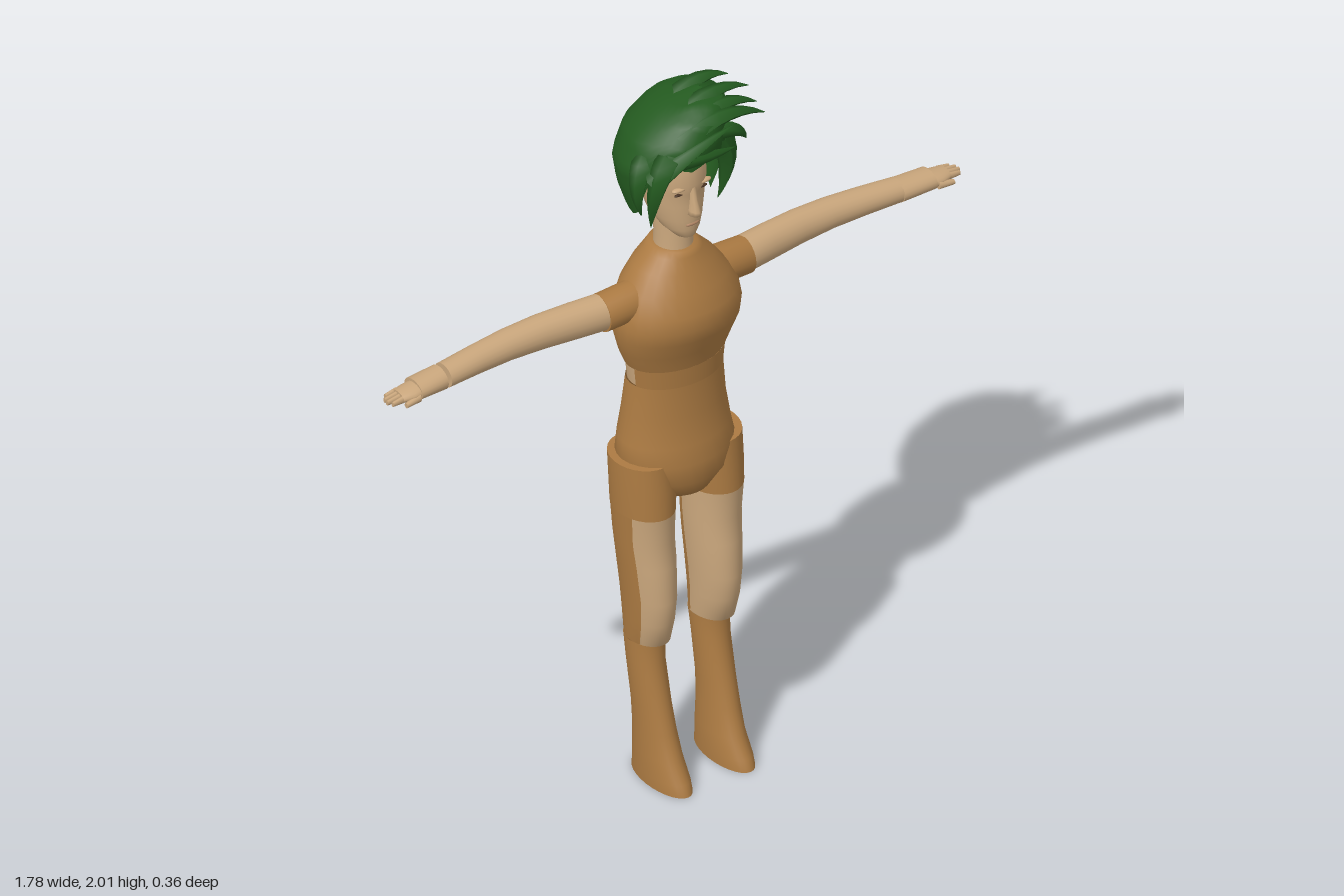
import * as THREE from 'three';
import { ParametricGeometry } from 'three/addons/geometries/ParametricGeometry.js';

const material = (name, color, side = THREE.FrontSide) => {
  const m = new THREE.MeshStandardMaterial({ color, side });
  m.name = name;
  return m;
};
const RAD = Math.PI / 180;

// Section rows are [y, centre x, half width, front z, back z].
const ring = ([y, cx, rx, zf, zb], a, out) =>
  out.set(cx + rx * Math.sin(a), y, (zf + zb) / 2 + ((zf - zb) / 2) * Math.cos(a));

// Skin over elliptical sections; a0..a1 (degrees, 0 = front, 90 = +x) allows partial shells.
function loft(rows, a0 = -180, a1 = 180, sides = 28) {
  const n = rows.length - 1;
  const g = new ParametricGeometry((u, v, out) => {
    ring(rows[Math.min(n, Math.round(v * n))], (a0 + (a1 - a0) * u) * RAD, out);
  }, sides, n);
  g.computeVertexNormals();
  return g;
}

// Add flat, sharp-edged end caps to a row list.
function closed(rows) {
  const cap = ([y, cx, , zf, zb]) => [y, cx, 0.0005, (zf + zb) / 2 + 0.0005, (zf + zb) / 2 - 0.0005];
  const last = rows[rows.length - 1];
  return [cap(rows[0]), rows[0], ...rows, last, cap(last)];
}

// Value of a row list at height y.
function rowAt(rows, y) {
  let i = 0;
  while (i < rows.length - 2 && y > rows[i + 1][0]) i++;
  const t = THREE.MathUtils.clamp((y - rows[i][0]) / (rows[i + 1][0] - rows[i][0]), 0, 1);
  return rows[i].map((c, k) => c + (rows[i + 1][k] - c) * t);
}

// Pointed lock of hair along a bent path.
function lock(a, b, c, w) {
  const seg = 7, sides = 5;
  const curve = new THREE.QuadraticBezierCurve3(...[a, b, c].map(p => new THREE.Vector3(...p)));
  const g = new THREE.TubeGeometry(curve, seg, w, sides);
  const pos = g.attributes.position, p = new THREE.Vector3();
  for (let i = 0; i < pos.count; i++) {
    const t = Math.floor(i / (sides + 1)) / seg;
    p.fromBufferAttribute(pos, i).lerp(curve.getPointAt(t), 0.97 * t ** 1.4);
    pos.setXYZ(i, p.x, p.y, p.z);
  }
  g.computeVertexNormals();
  return g;
}

export function createModel() {
  const skin = material('skin', 0xc9a67c, THREE.DoubleSide);
  const suit = material('brown suit', 0xab7a42, THREE.DoubleSide);
  const green = material('green hair', 0x23591f, THREE.DoubleSide);
  const dark = material('dark eyes', 0x4a3424);
  const lipTone = material('lips', 0xb08564);

  const model = new THREE.Group();
  const add = (name, geo, mat, parent = model) => {
    const m = new THREE.Mesh(geo, mat);
    m.name = name;
    parent.add(m);
    return m;
  };
  const blob = (name, mat, x, y, z, sx, sy, sz) => {
    const m = add(name, new THREE.SphereGeometry(1, 12, 8), mat);
    m.position.set(x, y, z);
    m.scale.set(sx, sy, sz);
  };

  // Torso: hips and bodice, with a bare band across the back of the waist
  const waistLow = [1.175, 0, 0.136, 0.083, -0.108], waistHigh = [1.23, 0, 0.142, 0.086, -0.11];
  add('hips', loft([
    [0.835, 0, 0.001, 0, -0.002], [0.84, 0, 0.09, 0.085, -0.105], [0.89, 0, 0.14, 0.11, -0.125],
    [0.95, 0, 0.165, 0.113, -0.135], [1.0, 0, 0.157, 0.1, -0.132], [1.08, 0, 0.145, 0.087, -0.12], waistLow,
  ]), suit);
  add('waistFront', loft([waistLow, waistHigh], -78, 78), suit);
  add('waistBack', loft([[1.175, 0, 0.132, 0.08, -0.104], [1.23, 0, 0.138, 0.083, -0.106]], 75, 285), skin);
  add('bodice', loft([
    waistHigh, [1.28, 0, 0.163, 0.1, -0.118], [1.33, 0, 0.178, 0.121, -0.128], [1.37, 0, 0.179, 0.13, -0.132],
    [1.41, 0, 0.173, 0.124, -0.133], [1.46, 0, 0.15, 0.102, -0.127], [1.51, 0, 0.11, 0.075, -0.11],
    [1.545, 0, 0.075, 0.057, -0.092], [1.56, 0, 0.06, 0.05, -0.085], [1.561, 0, 0.04, 0.03, -0.065],
  ]), suit);

  // Legs, arms and hands on both sides
  for (const s of [1, -1]) {
    const side = s > 0 ? 'left' : 'right';
    const shell = (rows, a0, a1) => {
      const r = rows.map(([y, x, ...rest]) => [y, s * x, ...rest]);
      return s > 0 ? loft(r, a0, a1) : loft(r, -a1, -a0);
    };
    const thigh = [
      [0.405, 0.1, 0.051, 0.055, -0.06], [0.41, 0.1, 0.053, 0.08, -0.06], [0.48, 0.101, 0.057, 0.1, -0.067],
      [0.55, 0.101, 0.061, 0.108, -0.075], [0.65, 0.102, 0.068, 0.1, -0.085], [0.72, 0.104, 0.072, 0.09, -0.09],
      [0.805, 0.106, 0.075, 0.096, -0.097],
    ];
    add(side + 'ThighFront', shell(thigh, -108, 62), skin);
    add(side + 'ThighBack', shell(thigh, 62, 252), suit);
    add(side + 'LegTop', shell([
      [0.805, 0.106, 0.076, 0.097, -0.098], [0.88, 0.104, 0.08, 0.093, -0.102], [0.955, 0.104, 0.081, 0.085, -0.106],
      [0.955, 0.104, 0.081, 0.085, -0.106], [0.955, 0.1, 0.001, 0.001, -0.001],
    ], -180, 180), suit);
    add(side + 'FlaredBoot', shell(closed([
      [0, 0.097, 0.05, 0.183, -0.042], [0.03, 0.097, 0.05, 0.172, -0.04], [0.08, 0.097, 0.048, 0.138, -0.036],
      [0.15, 0.099, 0.045, 0.113, -0.034], [0.22, 0.1, 0.044, 0.092, -0.038], [0.34, 0.101, 0.047, 0.06, -0.052],
      [0.408, 0.1, 0.051, 0.055, -0.06],
    ]), -180, 180), suit);

    // Arm rows read [distance out, height, half height, front z, back z]
    const arm = new THREE.Group();
    arm.name = side + 'Arm';
    model.add(arm);
    const limb = (name, rows, mat) => {
      const r = rows.map(([d, h, ...rest]) => [d, -s * h, ...rest]);
      add(name, loft(closed(r), -180, 180, 20).rotateZ(-s * Math.PI / 2), mat, arm);
    };
    limb('sleeve', [[0.11, 1.43, 0.053, 0.04, -0.065], [0.16, 1.427, 0.052, 0.037, -0.066], [0.225, 1.42, 0.051, 0.03, -0.071]], suit);
    limb('armLength', [
      [0.21, 1.422, 0.049, 0.028, -0.068], [0.3, 1.422, 0.049, 0.015, -0.076], [0.4, 1.423, 0.046, 0.004, -0.083],
      [0.5, 1.423, 0.041, 0, -0.084], [0.6, 1.422, 0.037, 0.003, -0.076], [0.705, 1.42, 0.032, 0.01, -0.066],
    ], skin);
    limb('wrist', [[s > 0 ? 0.7 : 0.717, 1.42, 0.031, 0.012, -0.067], [0.8, 1.419, 0.026, 0.015, -0.064]], skin);
    limb('palm', [[0.79, 1.418, 0.021, 0.012, -0.055], [0.82, 1.418, 0.018, 0.014, -0.055], [0.85, 1.417, 0.014, 0.004, -0.05]], skin);
    [0.88, 0.888, 0.886, 0.875].forEach((tip, i) => {
      const z = -0.004 - i * 0.0135;
      limb('finger' + (i + 1), [[0.84, 1.417, 0.011, z + 0.007, z - 0.007], [tip, 1.414, 0.007, z + 0.005, z - 0.005]], skin);
    });
    limb('thumb', [[0.805, 1.412, 0.012, 0.018, -0.004], [0.85, 1.408, 0.007, 0.02, 0.006]], skin);
  }

  // Neck, head and face
  add('neck', loft([[1.54, 0, 0.052, 0.038, -0.07], [1.59, 0, 0.048, 0.035, -0.07], [1.66, 0, 0.05, 0.03, -0.075]]), skin);
  add('head', loft([
    [1.607, 0, 0.004, 0.05, 0.03], [1.611, 0, 0.028, 0.063, -0.005], [1.635, 0, 0.05, 0.068, -0.05],
    [1.665, 0, 0.064, 0.071, -0.095], [1.71, 0, 0.077, 0.07, -0.12], [1.745, 0, 0.081, 0.069, -0.13],
    [1.775, 0, 0.083, 0.078, -0.14], [1.84, 0, 0.084, 0.07, -0.14], [1.9, 0, 0.06, 0.04, -0.11], [1.92, 0, 0.01, 0, -0.04],
  ]), skin);
  add('nose', loft([
    [1.681, 0, 0.004, 0.075, 0.05], [1.688, 0, 0.017, 0.095, 0.05], [1.7, 0, 0.014, 0.096, 0.05],
    [1.73, 0, 0.01, 0.085, 0.05], [1.77, 0, 0.009, 0.077, 0.05],
  ], -180, 180, 10), skin);
  for (const s of [1, -1]) {
    blob('eye', dark, s * 0.036, 1.75, 0.059, 0.015, 0.004, 0.005);
    blob('browRidge', skin, s * 0.038, 1.768, 0.062, 0.023, 0.006, 0.01);
  }
  blob('mouth', lipTone, 0, 1.654, 0.067, 0.021, 0.005, 0.006);

  // Hair: swept dome whose hem is raised over the face
  const dome = [
    [1.66, 0, 0.108, 0.055, -0.122], [1.75, 0, 0.134, 0.08, -0.162], [1.82, 0, 0.143, 0.093, -0.176],
    [1.89, 0.02, 0.13, 0.1, -0.176], [1.945, 0.05, 0.1, 0.088, -0.15], [1.98, 0.08, 0.062, 0.05, -0.1],
    [1.99, 0.085, 0.002, -0.02, -0.024],
  ];
  const hem = a => {
    const t = THREE.MathUtils.smoothstep(Math.abs(a), 45 * RAD, 75 * RAD);
    return 1.84 - 0.157 * t + 0.009 * Math.sin(9 * a);
  };
  const cap = new ParametricGeometry((u, v, out) => {
    const a = (u * 2 - 1) * Math.PI;
    ring(rowAt(dome, hem(a) + (1.99 - hem(a)) * v), a, out);
  }, 40, 16);
  cap.computeVertexNormals();
  add('hairDome', cap, green);

  // Hair locks: swept crown, fringe and side pieces as [root, bend, tip, thickness]
  [
    [[0.0, 1.92, 0.0], [0.1, 2.02, 0.01], [0.2, 1.975, 0.03], 0.035],
    [[0.02, 1.93, -0.06], [0.1, 2.015, -0.06], [0.18, 1.985, -0.03], 0.035],
    [[-0.02, 1.9, 0.05], [0.1, 1.99, 0.08], [0.215, 1.915, 0.08], 0.035],
    [[0.03, 1.93, 0.03], [0.12, 1.995, 0.05], [0.205, 1.94, 0.06], 0.03],
    [[0.06, 1.9, 0.05], [0.13, 1.92, 0.09], [0.165, 1.85, 0.07], 0.03],
    [[-0.11, 1.81, 0.05], [-0.03, 1.9, 0.1], [0.1, 1.93, 0.1], 0.032],
    [[-0.07, 1.86, 0.06], [0.02, 1.87, 0.11], [0.12, 1.85, 0.085], 0.026],
    [[-0.07, 1.87, 0.06], [-0.13, 1.82, 0.08], [-0.11, 1.67, 0.04], 0.034],
    [[-0.1, 1.85, 0.0], [-0.16, 1.8, 0.03], [-0.125, 1.7, 0.02], 0.032],
    [[0.09, 1.88, 0.05], [0.14, 1.8, 0.06], [0.105, 1.67, 0.03], 0.036],
    [[0.1, 1.88, 0.0], [0.165, 1.8, 0.0], [0.13, 1.7, 0.0], 0.032],
  ].forEach(([a, b, c, w], i) => add('hairLock' + (i + 1), lock(a, b, c, w), green));

  return model;
}
